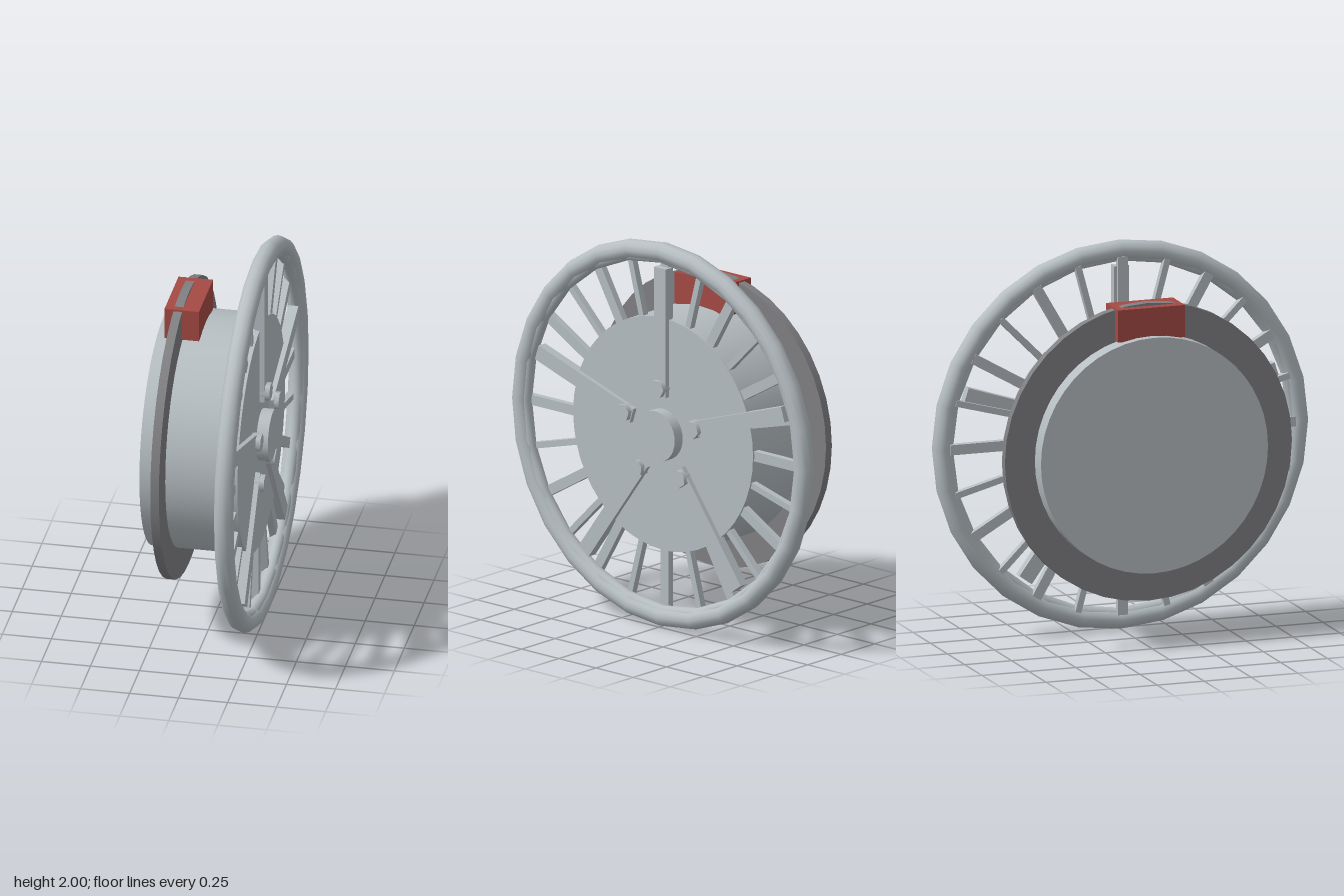
import * as THREE from 'three';

const steel = new THREE.MeshStandardMaterial({ color: 0xb6bec2 });
steel.name = 'steel';
const darkSteel = new THREE.MeshStandardMaterial({ color: 0x808083 });
darkSteel.name = 'darkSteel';
const red = new THREE.MeshStandardMaterial({ color: 0xa54a44 });
red.name = 'caliperRed';

// The wheel turns about the x axis, centred at y = 1.
export function createModel() {
  const wheel = new THREE.Group();
  wheel.name = 'wheel';

  const add = (parent, name, geometry, material) => {
    const mesh = new THREE.Mesh(geometry, material);
    mesh.name = name;
    parent.add(mesh);
    return mesh;
  };
  // Cylinder lying along x between x0 and x1
  const disc = (radius, x0, x1, sides) =>
    new THREE.CylinderGeometry(radius, radius, x1 - x0, sides)
      .rotateZ(-Math.PI / 2).translate((x0 + x1) / 2, 0, 0);
  // Box given by its lower and upper corners
  const box = (x0, x1, y0, y1, z0, z1) =>
    new THREE.BoxGeometry(x1 - x0, y1 - y0, z1 - z0)
      .translate((x0 + x1) / 2, (y0 + y1) / 2, (z0 + z1) / 2);
  const ring = (radius, tube, sides) =>
    new THREE.TorusGeometry(radius, tube, 12, sides).rotateY(Math.PI / 2).translate(0.22, 0, 0);

  // Rim: outer tube with a slimmer ring inside it
  add(wheel, 'outerRim', ring(0.95, 0.05, 28), steel);
  add(wheel, 'innerRim', ring(0.925, 0.033, 24), steel);

  // Hub drum and centre cap
  add(wheel, 'hub', disc(0.605, -0.28, 0.22, 48), steel);
  add(wheel, 'centreCap', disc(0.132, 0.22, 0.28, 32), steel);

  // Five broad spokes, each with a hexagonal bolt
  for (let i = 0; i < 5; i++) {
    const arm = new THREE.Group();
    arm.name = 'spokeArm';
    arm.rotation.x = i * Math.PI * 2 / 5;
    add(arm, 'broadSpoke', box(0.195, 0.245, 0.2, 0.87, -0.04, 0.04), steel);
    add(arm, 'bolt', disc(0.046, 0.22, 0.27, 6).translate(0, 0.245, 0), steel);
    wheel.add(arm);
  }

  // Ring of fine spokes between drum and rim, alternating in width
  for (let i = 0; i < 24; i++) {
    const half = i % 2 ? 0.016 : 0.026;
    const spoke = add(wheel, 'fineSpoke', box(0.175, 0.21, 0.58, 0.92, -half, half), steel);
    spoke.rotation.x = i * Math.PI / 12;
  }

  // Brake disc and the caliper gripping its top
  add(wheel, 'brakeDisc', disc(0.765, -0.192, -0.148, 40), darkSteel);
  add(wheel, 'caliper', box(-0.238, -0.062, 0.585, 0.75, -0.178, 0.178), red);

  wheel.position.y = 1;
  const model = new THREE.Group();
  model.add(wheel);
  return model;
}
